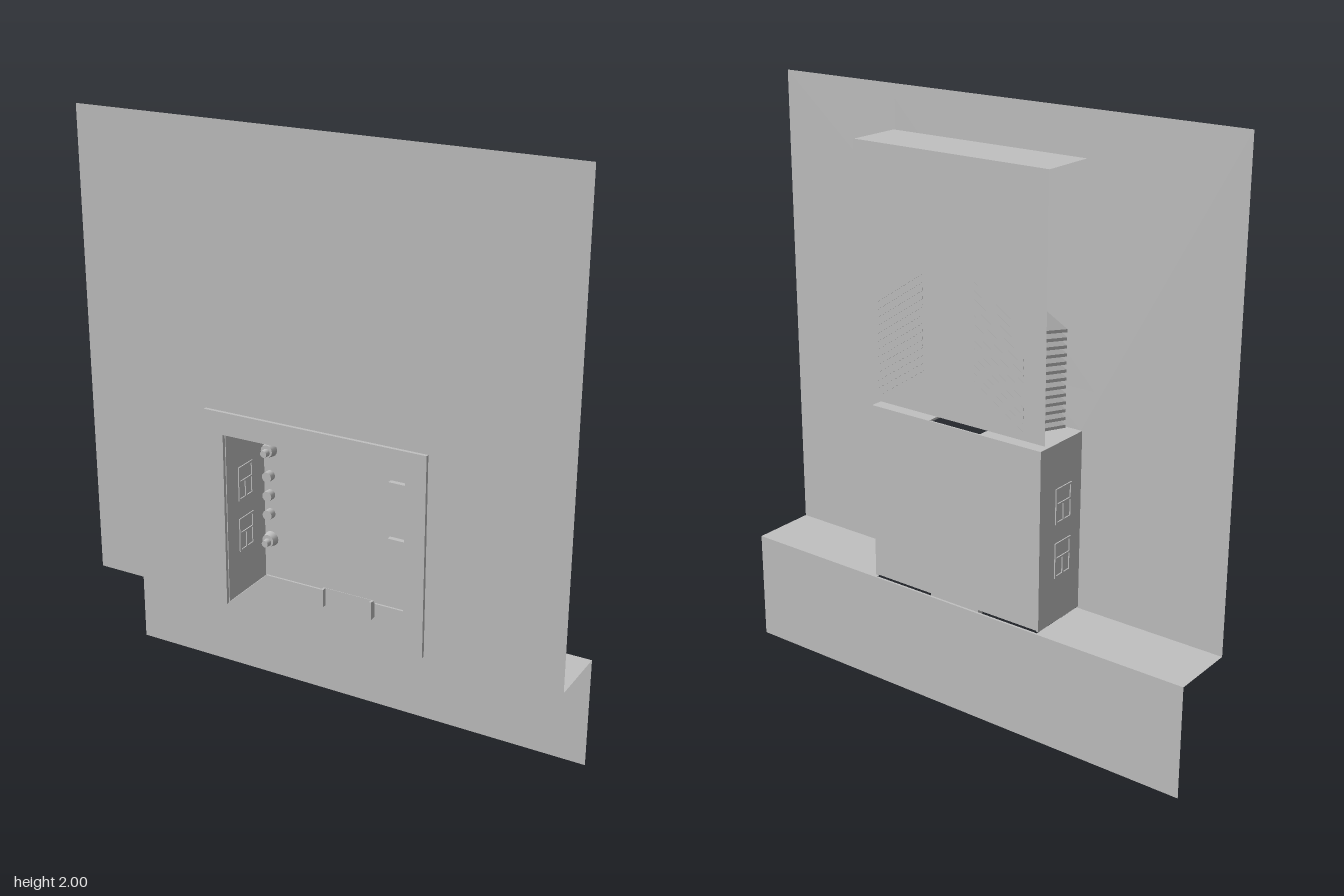
import * as THREE from 'three';

const grey = new THREE.MeshStandardMaterial({ color: 0xc0c0c0, side: THREE.DoubleSide });
grey.name = 'plain grey';

export function createModel() {
  const model = new THREE.Group();
  model.name = 'wallAlcove';

  const add = (name, geometry, x = 0, y = 0, z = 0) => {
    const mesh = new THREE.Mesh(geometry, grey);
    mesh.name = name;
    mesh.position.set(x, y, z);
    model.add(mesh);
    return mesh;
  };
  // Box given by its limits on each axis
  const block = (name, x0, x1, y0, y1, z0, z1) =>
    add(name, new THREE.BoxGeometry(x1 - x0, y1 - y0, z1 - z0),
      (x0 + x1) / 2, (y0 + y1) / 2, (z0 + z1) / 2);
  const outline = (points) => new THREE.Shape(points.map(([x, y]) => new THREE.Vector2(x, y)));
  // Arch-shaped outline: a rectangle with a notch in its lower edge
  const arch = (w, y0, y1, nw, ny) => outline([
    [-w, y0], [-nw, y0], [-nw, ny], [nw, ny], [nw, y0], [w, y0], [w, y1], [-w, y1]]);

  // Wall sheets: front with window opening, notched ledge, lower wall
  add('frontWall', new THREE.ShapeGeometry(arch(0.867, 0.385, 2, 0.33, 1)), 0, 0, 0.11);
  const ledge = outline([[-0.867, -0.12], [0.867, -0.12], [0.867, 0.11], [0.33, 0.11],
    [0.33, -0.112], [-0.33, -0.112], [-0.33, 0.11], [-0.867, 0.11]]);
  add('ledge', new THREE.ShapeGeometry(ledge).rotateX(Math.PI / 2), 0, 0.385, 0);
  add('lowerWall', new THREE.PlaneGeometry(1.734, 0.385), 0, 0.1925, -0.12);

  // Upper housing: backing sheet, rear sheet and flat top
  add('backingSheet', new THREE.PlaneGeometry(0.776, 0.81), 0, 1.552, 0.09);
  add('housingBack', new THREE.PlaneGeometry(0.73, 0.835), 0, 1.45, -0.135);
  add('housingTop', new THREE.PlaneGeometry(0.73, 0.19).rotateX(-Math.PI / 2), 0, 1.867, -0.04);

  // Window surround
  add('windowFrame', new THREE.ExtrudeGeometry(arch(0.4, 0.385, 1.07, 0.33, 0.993),
    { depth: 0.012, bevelEnabled: false }), 0, 0, 0.122);

  // Alcove box, open at the front and below, with a slot in its ceiling
  block('alcoveBack', -0.335, 0.335, 0.393, 1, -0.112, -0.106);
  const ceiling = outline([[-0.335, -0.11], [-0.1, -0.11], [-0.1, 0.09], [0.1, 0.09],
    [0.1, -0.11], [0.335, -0.11], [0.335, 0.122], [-0.335, 0.122]]);
  add('alcoveCeiling', new THREE.ExtrudeGeometry(ceiling, { depth: 0.007, bevelEnabled: false })
    .rotateX(Math.PI / 2), 0, 1, 0);
  block('slotLip', -0.095, 0.095, 0.995, 1.02, 0.086, 0.092);

  for (const s of [-1, 1]) {
    const side = (name, a, b, ...rest) => block(name, Math.min(s * a, s * b), Math.max(s * a, s * b), ...rest);
    side('alcoveSide', 0.327, 0.335, 0.39, 1, -0.112, 0.122);
    side('tabLip', 0.088, 0.097, 0.335, 0.4, -0.11, -0.088);
    side('slotCheek', 0.095, 0.103, 0.995, 1.02, 0.055, 0.09);

    // Small panelled hatches on both faces of each side
    for (const y of [0.73, 0.545]) {
      side('hatchBottom', 0.323, 0.339, y, y + 0.007, -0.03, 0.055);
      side('hatchTop', 0.323, 0.339, y + 0.113, y + 0.12, -0.03, 0.055);
      side('hatchRail', 0.323, 0.339, y + 0.063, y + 0.069, -0.03, 0.055);
      side('hatchFrontPost', 0.323, 0.339, y, y + 0.12, 0.048, 0.055);
      side('hatchMullion', 0.323, 0.339, y, y + 0.066, 0.01, 0.016);
      side('hatchRearPost', 0.323, 0.339, y, y + 0.12, -0.03, -0.023);
    }

    // Stack of slats rising inward and backward
    const slat = outline([[0.1, -0.136], [0.285, -0.136], [0.285, 0.09], [0.1, 0.052]]);
    const slatGeometry = new THREE.ExtrudeGeometry(slat, { depth: 0.01, bevelEnabled: false })
      .rotateX(Math.PI / 2);
    const p = slatGeometry.attributes.position;
    for (let i = 0; i < p.count; i++) {
      p.setY(i, p.getY(i) + (0.285 - p.getX(i)) * 0.66 + (0.09 - p.getZ(i)) * 0.2);
    }
    slatGeometry.computeVertexNormals();
    if (s < 0) slatGeometry.rotateY(0).scale(-1, 1, 1);
    for (let i = 0; i < 13; i++) add('slat', slatGeometry, 0, 1.015 + i * 0.026, 0);
  }

  // Bottom tab
  block('tabBack', -0.097, 0.097, 0.335, 0.4, -0.112, -0.104);

  // Round studs and larger tapered knobs on the alcove back
  const stud = (name, x, y, r, tip, length) =>
    add(name, new THREE.CylinderGeometry(tip, r, length, 16).rotateX(Math.PI / 2),
      x, y, -0.106 + length / 2);
  for (const y of [0.77, 0.7, 0.63]) stud('leftStud', -0.303, y, 0.018, 0.018, 0.025);
  for (const y of [0.83, 0.77, 0.63, 0.565]) stud('rightStud', 0.3, y, 0.018, 0.018, 0.025);
  stud('cornerStud', 0.3, 0.965, 0.013, 0.008, 0.02);
  for (const [x, y] of [[-0.135, 0.968], [0.132, 0.968], [-0.302, 0.865], [-0.302, 0.535]]) {
    stud('knobBase', x, y, 0.027, 0.022, 0.025);
    stud('knobTip', x, y - 0.004, 0.016, 0.012, 0.045);
  }

  // Square plates on the alcove back
  for (const y of [0.755, 0.555]) block('squarePlate', 0.155, 0.255, y, y + 0.095, -0.106, -0.088);

  // Upright pin with collars at the top of the slats
  const pin = (name, r, h, y) => add(name, new THREE.CylinderGeometry(r, r, h, 12), 0.11, y, -0.11);
  pin('pinShaft', 0.011, 0.14, 1.515);
  pin('pinHead', 0.02, 0.012, 1.58);
  pin('pinUpperCollar', 0.021, 0.015, 1.51);
  pin('pinLowerCollar', 0.021, 0.02, 1.475);

  return model;
}
